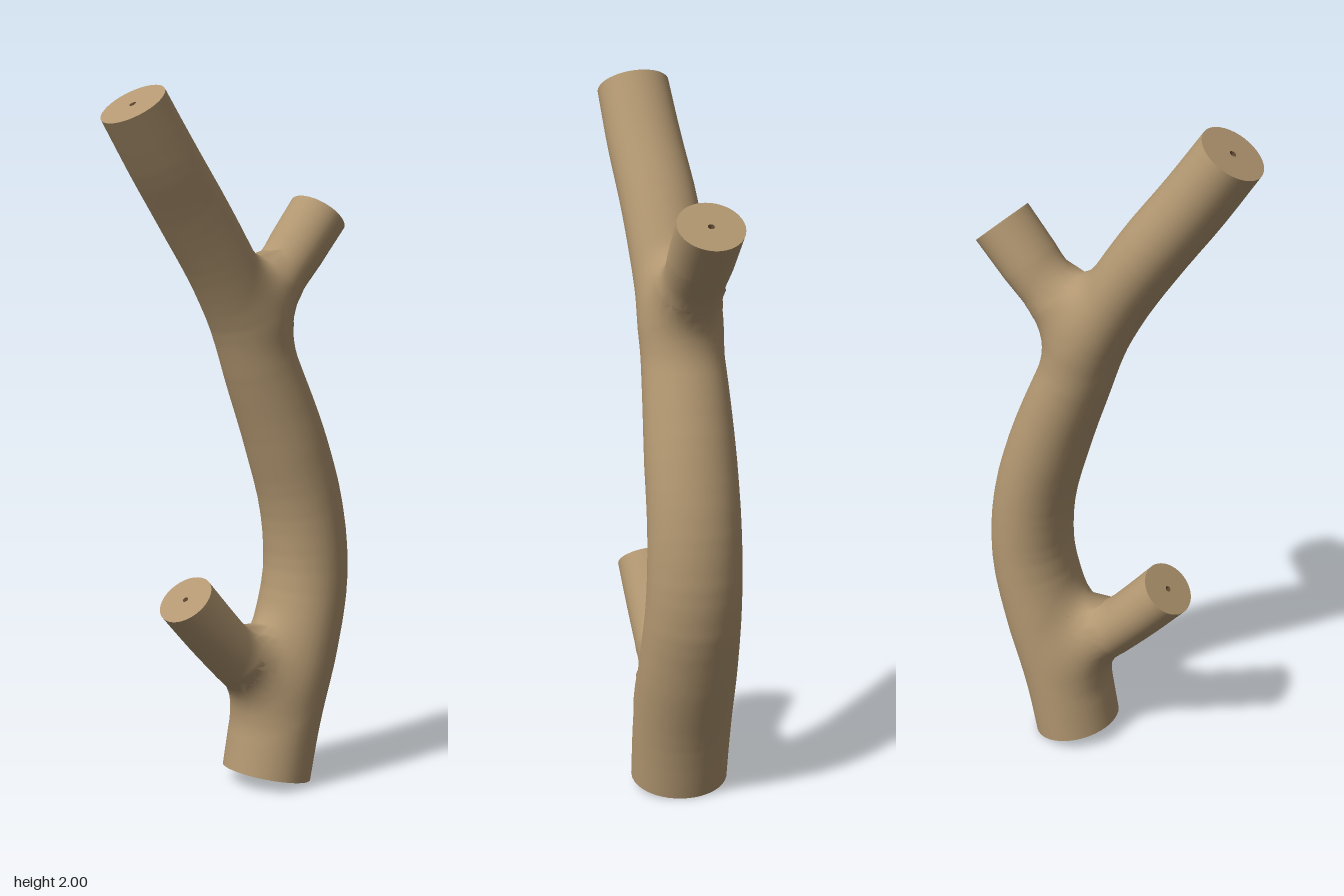
import * as THREE from 'three';

const SIDES = 40, SAMPLES = 36, BLEND = 0.12, WIDEN = 1.12;

// Each limb: axis points as [x, y, z, radius]
const LIMBS = [
  { name: 'trunk', rings: 90, capStart: true, pts: [
    [0, 0.029, -0.137, 0.124], [0, 0.2, -0.172, 0.126], [-0.002, 0.4, -0.234, 0.125],
    [-0.006, 0.6, -0.28, 0.119], [-0.01, 0.8, -0.268, 0.116], [-0.012, 1.0, -0.21, 0.114],
    [-0.015, 1.2, -0.132, 0.106], [-0.013, 1.36, -0.066, 0.098], [-0.008, 1.5, 0.012, 0.096],
    [-0.002, 1.65, 0.112, 0.097], [0.012, 1.8, 0.222, 0.095], [0.022, 1.95, 0.325, 0.092]] },
  { name: 'upperBackBranch', rings: 36, pts: [
    [-0.016, 1.37, -0.125, 0.045], [-0.022, 1.46, -0.185, 0.074], [-0.028, 1.55, -0.257, 0.081], [-0.033, 1.65, -0.34, 0.083]] },
  { name: 'lowerFrontBranch', rings: 36, pts: [
    [0.005, 0.31, -0.1, 0.05], [0.012, 0.39, -0.02, 0.078], [0.016, 0.485, 0.07, 0.08], [0.02, 0.585, 0.16, 0.081]] },
];

// Smooth axis curve and interpolated radius
function prepare(limb) {
  const curve = new THREE.CatmullRomCurve3(limb.pts.map(p => new THREE.Vector3(p[0], p[1], p[2])));
  const radius = t => {
    const f = t * (limb.pts.length - 1), i = Math.min(Math.floor(f), limb.pts.length - 2);
    return THREE.MathUtils.lerp(limb.pts[i][3], limb.pts[i + 1][3], f - i);
  };
  const samples = [];
  for (let i = 0; i <= SAMPLES; i++) samples.push({ p: curve.getPoint(i / SAMPLES), r: radius(i / SAMPLES) });
  return { ...limb, curve, radius, samples };
}

// Distance from a point to one limb, slightly wider in x than in depth
function limbDistance(limb, p) {
  let best = Infinity;
  for (let i = 0; i < SAMPLES; i++) {
    const a = limb.samples[i], b = limb.samples[i + 1];
    const ex = (b.p.x - a.p.x) / WIDEN, ey = b.p.y - a.p.y, ez = b.p.z - a.p.z;
    const dx = (p.x - a.p.x) / WIDEN, dy = p.y - a.p.y, dz = p.z - a.p.z;
    const t = Math.min(1, Math.max(0, (dx * ex + dy * ey + dz * ez) / (ex * ex + ey * ey + ez * ez)));
    const d = Math.hypot(dx - t * ex, dy - t * ey, dz - t * ez) - (a.r + (b.r - a.r) * t);
    if (d < best) best = d;
  }
  return best;
}

// Smooth union of all limbs, giving soft fillets at the forks
function woodDistance(limbs, p) {
  return limbs.map(l => limbDistance(l, p)).reduce((a, b) => {
    const h = Math.max(BLEND - Math.abs(a - b), 0) / BLEND;
    return Math.min(a, b) - h * h * BLEND / 4;
  });
}

// Push outward from the axis until the blended surface is met
function castOut(limbs, centre, dir, r) {
  const at = s => woodDistance(limbs, centre.clone().addScaledVector(dir, s));
  const limit = 2.1 * r;
  let lo = 0.4 * r, hi = lo;
  while (hi < limit && at(hi) < 0) { lo = hi; hi += 0.012; }
  if (hi >= limit) return limit;
  for (let k = 0; k < 9; k++) {
    const mid = (lo + hi) / 2;
    if (at(mid) < 0) lo = mid; else hi = mid;
  }
  return hi;
}

function surfaceNormal(limbs, p) {
  const e = 0.004, n = new THREE.Vector3();
  for (const axis of ['x', 'y', 'z']) {
    const a = p.clone(), b = p.clone();
    a[axis] += e; b[axis] -= e;
    n[axis] = woodDistance(limbs, a) - woodDistance(limbs, b);
  }
  return n.normalize();
}

function toGeometry(points, index, normals) {
  const g = new THREE.BufferGeometry().setFromPoints(points);
  g.setIndex(index);
  if (normals) g.setAttribute('normal', new THREE.Float32BufferAttribute(normals.flatMap(n => n.toArray()), 3));
  else g.computeVertexNormals();
  return g;
}

// Flat sawn face between two scales of the end ring; an inner scale of 0 closes it
function faceGeometry(ring, centre, outer, inner, depth, outward, flip) {
  const points = [], index = [];
  for (const [scale, d] of [[outer, 0], [inner, depth]])
    for (const p of ring) points.push(centre.clone().lerp(p, scale).addScaledVector(outward, -d));
  for (let j = 0; j < SIDES; j++) {
    const k = (j + 1) % SIDES;
    const quad = [j, k, SIDES + k, j, SIDES + k, SIDES + j];
    index.push(...(flip ? quad.reverse() : quad));
  }
  return toGeometry(points, index);
}

function buildLimb(limb, limbs, bark, dark) {
  const group = new THREE.Group();
  group.name = limb.name;
  const points = [], normals = [], index = [];
  for (let i = 0; i <= limb.rings; i++) {
    const t = i / limb.rings, c = limb.curve.getPoint(t), tangent = limb.curve.getTangent(t);
    const side = new THREE.Vector3(1, 0, 0).addScaledVector(tangent, -tangent.x).normalize();
    const other = tangent.clone().cross(side);
    for (let j = 0; j < SIDES; j++) {
      const a = j / SIDES * Math.PI * 2;
      const dir = side.clone().multiplyScalar(Math.cos(a)).addScaledVector(other, Math.sin(a));
      const p = c.clone().addScaledVector(dir, castOut(limbs, c, dir, limb.radius(t)));
      points.push(p);
      normals.push(surfaceNormal(limbs, p));
      if (i < limb.rings) {
        const k = (j + 1) % SIDES, o = i * SIDES, u = o + SIDES;
        index.push(o + j, o + k, u + k, o + j, u + k, u + j);
      }
    }
  }
  const add = (name, geometry, material) => {
    const mesh = new THREE.Mesh(geometry, material);
    mesh.name = limb.name + name;
    group.add(mesh);
  };
  add('Bark', toGeometry(points, index, normals), bark);
  // Sawn end with a tiny dark pith hole
  const ring = points.slice(-SIDES), tip = limb.curve.getPoint(1), out = limb.curve.getTangent(1);
  add('CutEnd', faceGeometry(ring, tip, 1, 0.1, 0, out, false), bark);
  add('Pith', faceGeometry(ring, tip, 0.1, 0, 0.008, out, false), dark);
  // Dark underside of the trunk
  if (limb.capStart) {
    const down = limb.curve.getTangent(0).negate();
    add('Base', faceGeometry(points.slice(0, SIDES), limb.curve.getPoint(0), 1, 0, 0, down, true), dark);
  }
  return group;
}

export function createModel() {
  const bark = new THREE.MeshStandardMaterial({ color: 0xb29771 });
  bark.name = 'tan wood';
  const dark = new THREE.MeshStandardMaterial({ color: 0x5c4630 });
  dark.name = 'dark brown wood';
  const model = new THREE.Group();
  model.name = 'branch';
  const limbs = LIMBS.map(prepare);
  for (const limb of limbs) model.add(buildLimb(limb, limbs, bark, dark));
  return model;
}
